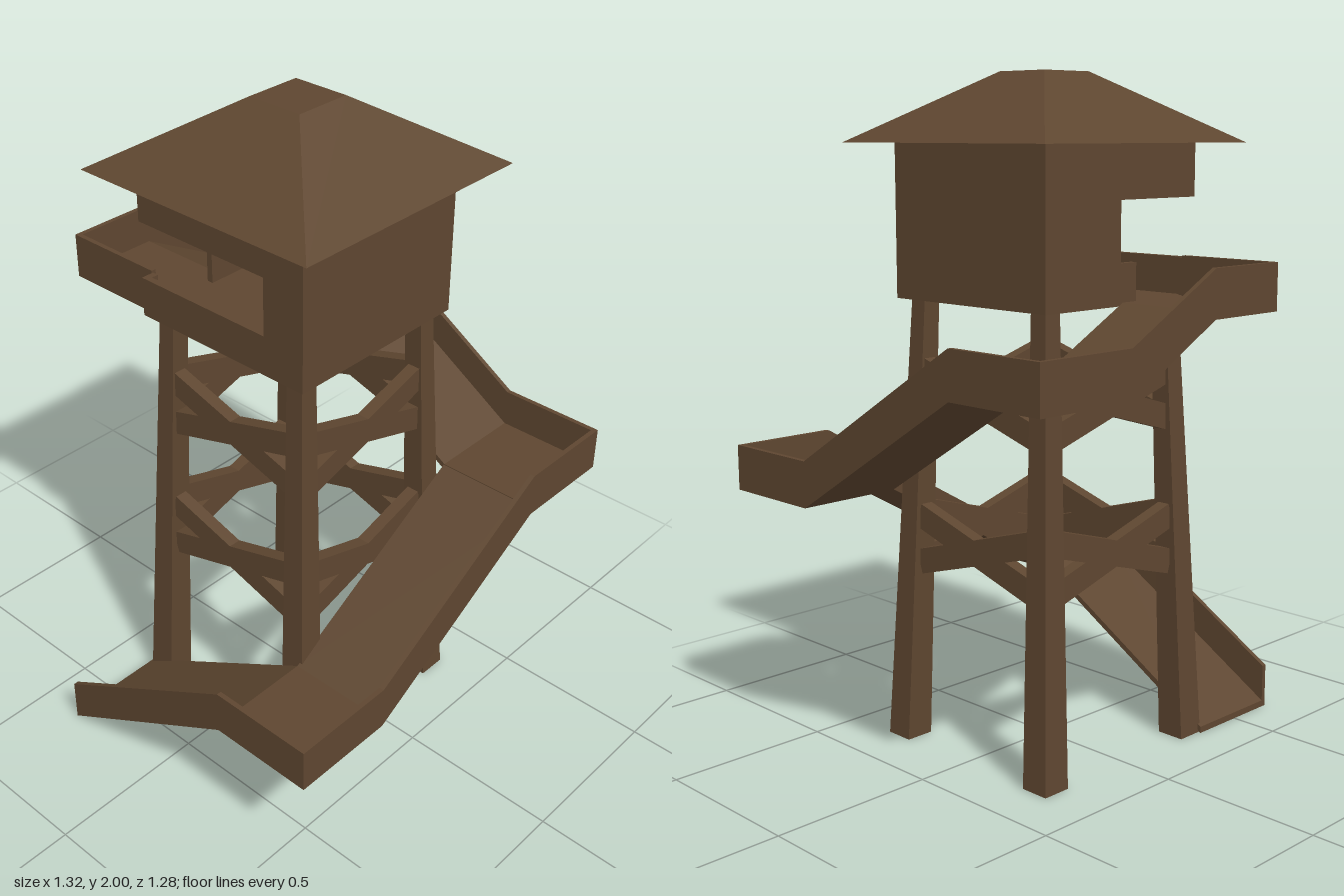
import * as THREE from 'three';

const wood = new THREE.MeshStandardMaterial({ color: 0x5e4630 });
wood.name = 'brown wood';
wood.flatShading = true;

function add(parent, name, geometry, x = 0, y = 0, z = 0) {
  const mesh = new THREE.Mesh(geometry, wood);
  mesh.name = name;
  mesh.position.set(x, y, z);
  parent.add(mesh);
  return mesh;
}

// Box given by its lower and upper corners
function block(parent, name, [x0, y0, z0], [x1, y1, z1]) {
  return add(parent, name, new THREE.BoxGeometry(x1 - x0, y1 - y0, z1 - z0),
    (x0 + x1) / 2, (y0 + y1) / 2, (z0 + z1) / 2);
}

// Strip of constant height that follows a line of [u, y] points, extruded sideways
function strip(points, height, width) {
  const upper = points.map(([u, y]) => [u, y + height]).reverse();
  const shape = new THREE.Shape([...points, ...upper].map(([u, y]) => new THREE.Vector2(u, y)));
  return new THREE.ExtrudeGeometry(shape, { depth: width, bevelEnabled: false });
}

// Tapered leg leaning in towards the cabin
function legGeometry(sx, sz) {
  const g = new THREE.BoxGeometry(2, 1.35, 2);
  const p = g.attributes.position;
  for (let i = 0; i < p.count; i++) {
    const top = p.getY(i) > 0;
    const centre = top ? 0.248 : 0.295, half = top ? 0.028 : 0.045;
    p.setXYZ(i, sx * centre + p.getX(i) * half, top ? 1.35 : 0, sz * centre + p.getZ(i) * half);
  }
  g.computeVertexNormals();
  return g;
}

export function createModel() {
  const model = new THREE.Group();
  model.name = 'watchtower';

  // Legs
  for (const sx of [-1, 1]) for (const sz of [-1, 1]) add(model, 'leg', legGeometry(sx, sz));

  // Crossed braces on all four sides, at two heights
  for (let side = 0; side < 4; side++) {
    const braces = new THREE.Group();
    braces.name = 'crossBraces';
    braces.rotation.y = side * Math.PI / 2;
    for (const y of [0.63, 1.07]) {
      for (const s of [-1, 1]) {
        const brace = add(braces, 'brace', new THREE.BoxGeometry(0.5, 0.075, 0.04), 0, y, 0.295 - 0.035 * y);
        brace.rotation.z = s * 0.29;
      }
    }
    model.add(braces);
  }

  // Cabin with a doorway at the back and an open window round the back corner
  const cabin = new THREE.Group();
  cabin.name = 'cabin';
  model.add(cabin);
  const r = 0.307, t = 0.02, y0 = 1.35, y1 = 1.8, sill = 1.47, head = 1.645;
  block(cabin, 'cabinFloor', [-r, y0, -r], [r, y0 + 0.01, r]);
  block(cabin, 'frontWall', [-r, y0, r - t], [r, y1, r]);
  block(cabin, 'leftWall', [r - t, y0, -r], [r, y1, r]);
  block(cabin, 'backWall', [0.01, y0, -r], [r, y1, -r + t]);
  block(cabin, 'backLintel', [-r, head, -r], [0.01, y1, -r + t]);
  block(cabin, 'backSill', [-0.055, y0, -r], [0.01, sill, -r + t]);
  block(cabin, 'doorJamb', [-r, y0, -r], [-0.265, sill, -r + t]);
  block(cabin, 'rightWall', [-r, y0, 0.167], [-r + t, y1, r]);
  block(cabin, 'rightLintel', [-r, head, -r], [-r + t, y1, 0.167]);
  block(cabin, 'rightSill', [-r, y0, -r], [-r + t, sill, 0.167]);

  // Hipped roof with a flat top
  const roofShape = new THREE.CylinderGeometry(0.09 * Math.SQRT2, 0.412 * Math.SQRT2, 0.2, 4);
  roofShape.rotateY(Math.PI / 4);
  add(model, 'roof', roofShape, 0.003, 1.9, 0);

  // Ramp winding down round the tower: floor line, start of the outer wall, inner and outer edge
  const flights = [
    { turn: 0, start: null, inner: 0.307, outer: 0.638, line: [[-0.27, 1.34], [0, 1.34], [0.33, 1.16], [0.658, 1.16]] },
    { turn: -1, start: -0.638, inner: 0.333, outer: 0.658, line: [[-0.31, 1.16], [0.31, 0.775], [0.638, 0.775]] },
    { turn: 2, start: -0.658, inner: 0.31, outer: 0.638, line: [[-0.33, 0.775], [0.33, 0.39], [0.658, 0.39]] },
    { turn: 1, start: -0.638, inner: 0.33, outer: 0.658, line: [[-0.31, 0.39], [0.35, 0]] },
  ];
  for (const { turn, start, inner, outer, line } of flights) {
    const flight = new THREE.Group();
    flight.name = 'rampFlight';
    flight.rotation.y = turn * Math.PI / 2;
    add(flight, 'rampFloor', strip(line, 0.02, outer - inner), 0, 0, -outer);
    const wallLine = start === null ? line : [[start, line[0][1]], ...line];
    add(flight, 'rampWall', strip(wallLine, 0.137, 0.015), 0, 0, -outer);
    model.add(flight);
  }
  block(model, 'rampEndWall', [-0.27, 1.34, -0.638], [-0.255, 1.477, -0.307]);

  return model;
}
